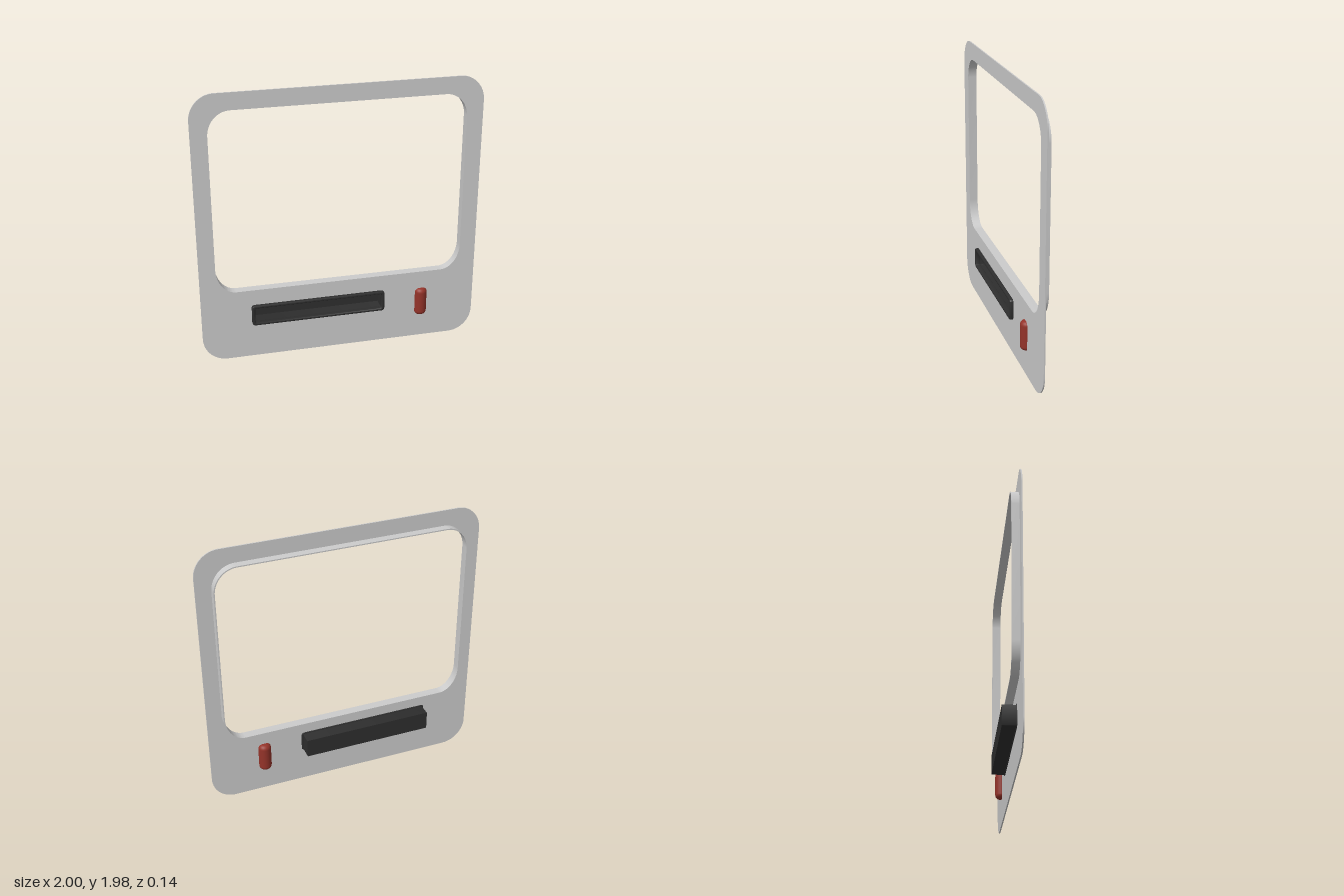
import * as THREE from 'three';
import { toCreasedNormals } from 'three/addons/utils/BufferGeometryUtils.js';

const grey = new THREE.MeshStandardMaterial({ color: 0xcccccc });
const black = new THREE.MeshStandardMaterial({ color: 0x2e2e2e });
const red = new THREE.MeshStandardMaterial({ color: 0x943329 });

// Outline of a rectangle whose top and bottom corners are quarter ellipses
function outline(Type, x0, x1, y0, y1, rx, ryTop, ryBottom = ryTop, rxBottom = rx) {
  const p = new Type();
  const q = Math.PI / 2;
  p.moveTo(x0 + rxBottom, y0);
  p.lineTo(x1 - rxBottom, y0);
  p.absellipse(x1 - rxBottom, y0 + ryBottom, rxBottom, ryBottom, -q, 0);
  p.lineTo(x1, y1 - ryTop);
  p.absellipse(x1 - rx, y1 - ryTop, rx, ryTop, 0, q);
  p.lineTo(x0 + rx, y1);
  p.absellipse(x0 + rx, y1 - ryTop, rx, ryTop, q, 2 * q);
  p.lineTo(x0, y0 + ryBottom);
  p.absellipse(x0 + rxBottom, y0 + ryBottom, rxBottom, ryBottom, 2 * q, 3 * q);
  return p;
}

// Window outline, grown outwards by g
const windowOutline = (Type, g = 0) =>
  outline(Type, -0.885 - g, 0.885 + g, 0.53 - g, 1.86 + g, 0.155 + g, 0.17 + g, 0.19 + g, 0.14 + g);

function extrude(name, shape, holes, z0, z1, material, bevel = 0) {
  shape.holes.push(...holes);
  const geometry = new THREE.ExtrudeGeometry(shape, {
    depth: z1 - z0 - 2 * bevel,
    curveSegments: 14,
    bevelEnabled: bevel > 0,
    bevelSize: bevel,
    bevelThickness: bevel,
    bevelOffset: -bevel,
    bevelSegments: 3,
  });
  geometry.translate(0, 0, z0 + bevel);
  const mesh = new THREE.Mesh(toCreasedNormals(geometry, 0.6), material);
  mesh.name = name;
  return mesh;
}

export function createModel() {
  const model = new THREE.Group();
  model.name = 'frontPanel';

  // Thin face plate, cut out for the window and the slot
  model.add(extrude('facePlate',
    outline(THREE.Shape, -1, 1, 0, 1.98, 0.17, 0.18),
    [windowOutline(THREE.Path), outline(THREE.Path, -0.625, 0.303, 0.272, 0.398, 0.004, 0.004)],
    0.024, 0.033, grey));

  // Lip running back around the window
  model.add(extrude('windowRim', windowOutline(THREE.Shape, 0.008),
    [windowOutline(THREE.Path)], -0.03, 0.025, grey));

  // Slot: raised bezel, four walls and a closed back
  const slot = new THREE.Group();
  slot.name = 'slot';
  slot.add(extrude('slotBezel', outline(THREE.Shape, -0.645, 0.322, 0.257, 0.413, 0.022, 0.022),
    [outline(THREE.Path, -0.622, 0.3, 0.277, 0.393, 0.01, 0.01)], 0.018, 0.058, black, 0.007));
  slot.add(extrude('slotWalls', outline(THREE.Shape, -0.632, 0.31, 0.265, 0.404, 0.004, 0.004),
    [outline(THREE.Path, -0.622, 0.3, 0.275, 0.394, 0.004, 0.004)], -0.07, 0.03, black));
  const back = new THREE.Mesh(new THREE.BoxGeometry(0.93, 0.127, 0.01), black);
  back.name = 'slotBack';
  back.position.set(-0.161, 0.3345, -0.0648);
  slot.add(back);
  model.add(slot);

  // Upright round-ended knob set through the plate
  const r = 0.046, h = 0.108, f = 0.032;
  const profile = [new THREE.Vector2(0, -h)];
  for (const end of [-1, 1]) {
    for (let i = 0; i <= 6; i++) {
      const a = (end < 0 ? i - 6 : i) * Math.PI / 12;
      profile.push(new THREE.Vector2(r - f + f * Math.cos(a), end * (h - f) + f * Math.sin(a)));
    }
  }
  profile.push(new THREE.Vector2(0, h));
  const knob = new THREE.Mesh(new THREE.LatheGeometry(profile, 24), red);
  knob.name = 'knob';
  knob.position.set(0.602, 0.288, 0.023);
  model.add(knob);

  return model;
}
